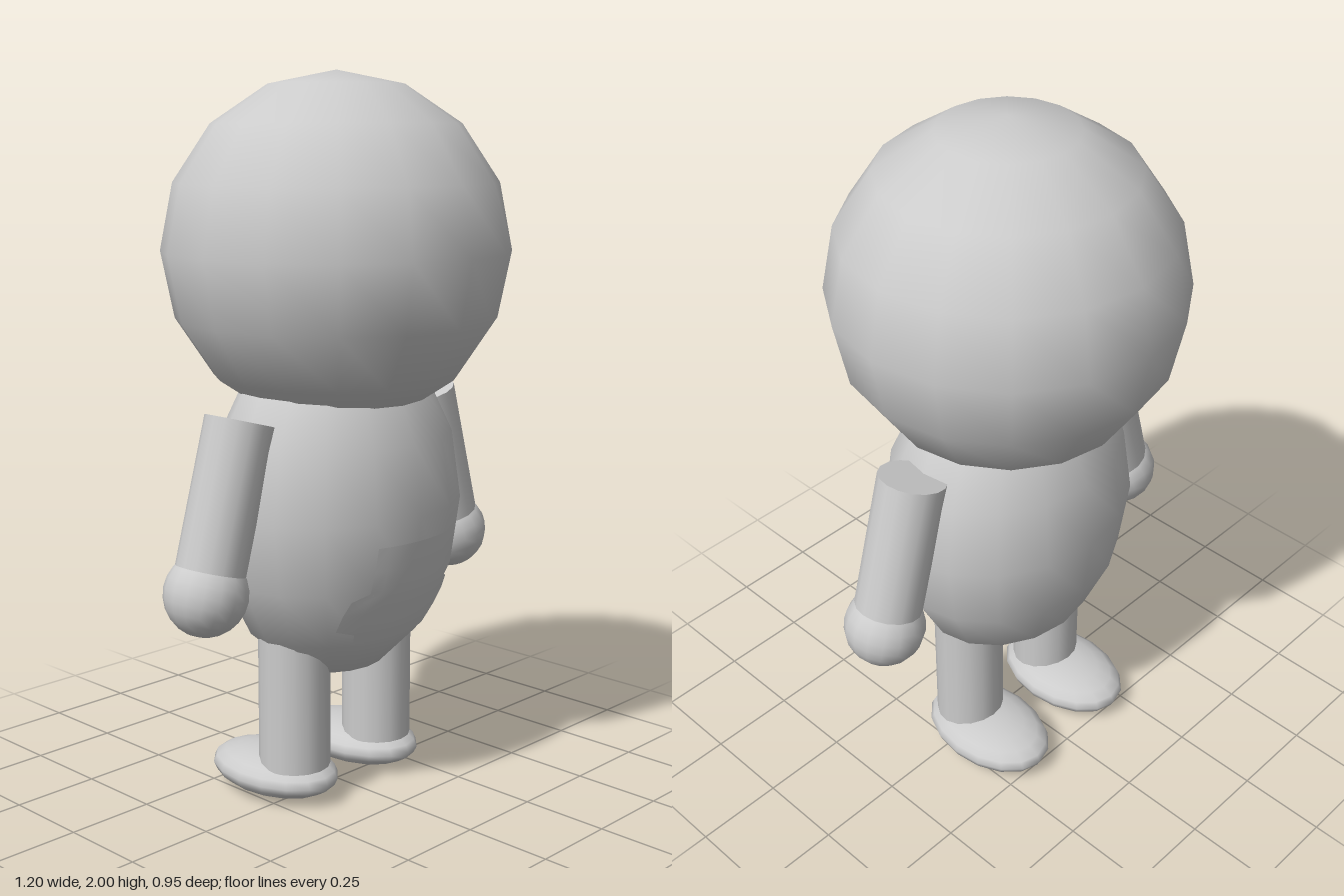
import * as THREE from 'three';

const material = new THREE.MeshStandardMaterial({ color: 0xcccccc });
const patchMaterial = new THREE.MeshStandardMaterial({ color: 0xcccccc, side: THREE.DoubleSide });

const BODY = { y: 0.83, rx: 0.384, ry: 0.5, rz: 0.315 };

function addMesh(parent, name, geometry, x, y, z, mat = material) {
  const mesh = new THREE.Mesh(geometry, mat);
  mesh.name = name;
  mesh.position.set(x, y, z);
  parent.add(mesh);
  return mesh;
}

// Ellipsoid with smooth normals and a low segment count
function ellipsoid(rx, ry, rz, w = 16, h = 8) {
  return new THREE.SphereGeometry(1, w, h).scale(rx, ry, rz);
}

// Belly pocket: rows of [height, half width] wrapped over the body's front
function pocketGeometry() {
  const rows = [
    [0.767, 0.14], [0.70, 0.143], [0.64, 0.145], [0.62, 0.19],
    [0.58, 0.20], [0.53, 0.20], [0.515, 0.15], [0.485, 0.14],
  ];
  const cols = 8;
  const geometry = new THREE.PlaneGeometry(1, 1, cols, rows.length - 1);
  const pos = geometry.attributes.position;
  rows.forEach(([y, half], r) => {
    for (let c = 0; c <= cols; c++) {
      const x = half * (2 * c / cols - 1);
      const k = 1 - (x / BODY.rx) ** 2 - ((y - BODY.y) / BODY.ry) ** 2;
      pos.setXYZ(r * (cols + 1) + c, x, y, BODY.rz * Math.sqrt(k) + 0.001);
    }
  });
  geometry.computeVertexNormals();
  return geometry;
}

export function createModel() {
  const model = new THREE.Group();
  model.name = 'figure';

  // Head, torso and pocket
  addMesh(model, 'head', ellipsoid(0.4775, 0.4775, 0.4775), 0, 1.5225, 0);
  addMesh(model, 'body', ellipsoid(BODY.rx, BODY.ry, BODY.rz), 0, BODY.y, 0);
  addMesh(model, 'pocket', pocketGeometry(), 0, 0, 0, patchMaterial);

  for (const [side, s] of [['left', 1], ['right', -1]]) {
    // Arm slopes outward from the shoulder to the hand
    const arm = new THREE.Group();
    arm.name = side + 'Arm';
    arm.position.set(s * 0.36, 1.1, 0);
    arm.rotation.z = s * 0.278;
    addMesh(arm, side + 'Sleeve', new THREE.CylinderGeometry(0.094, 0.094, 0.44, 16), 0, -0.22, 0);
    addMesh(arm, side + 'Hand', ellipsoid(0.113, 0.113, 0.113, 16, 12), 0, -0.46, 0);
    model.add(arm);

    // Straight leg on a flat oval foot
    const leg = new THREE.Group();
    leg.name = side + 'Leg';
    leg.position.x = s * 0.167;
    addMesh(leg, side + 'Shin', new THREE.CylinderGeometry(0.1, 0.1, 0.45, 16), 0, 0.325, 0);
    addMesh(leg, side + 'Foot', ellipsoid(0.143, 0.064, 0.21, 16, 10), 0, 0.066, -0.08);
    model.add(leg);
  }
  return model;
}
